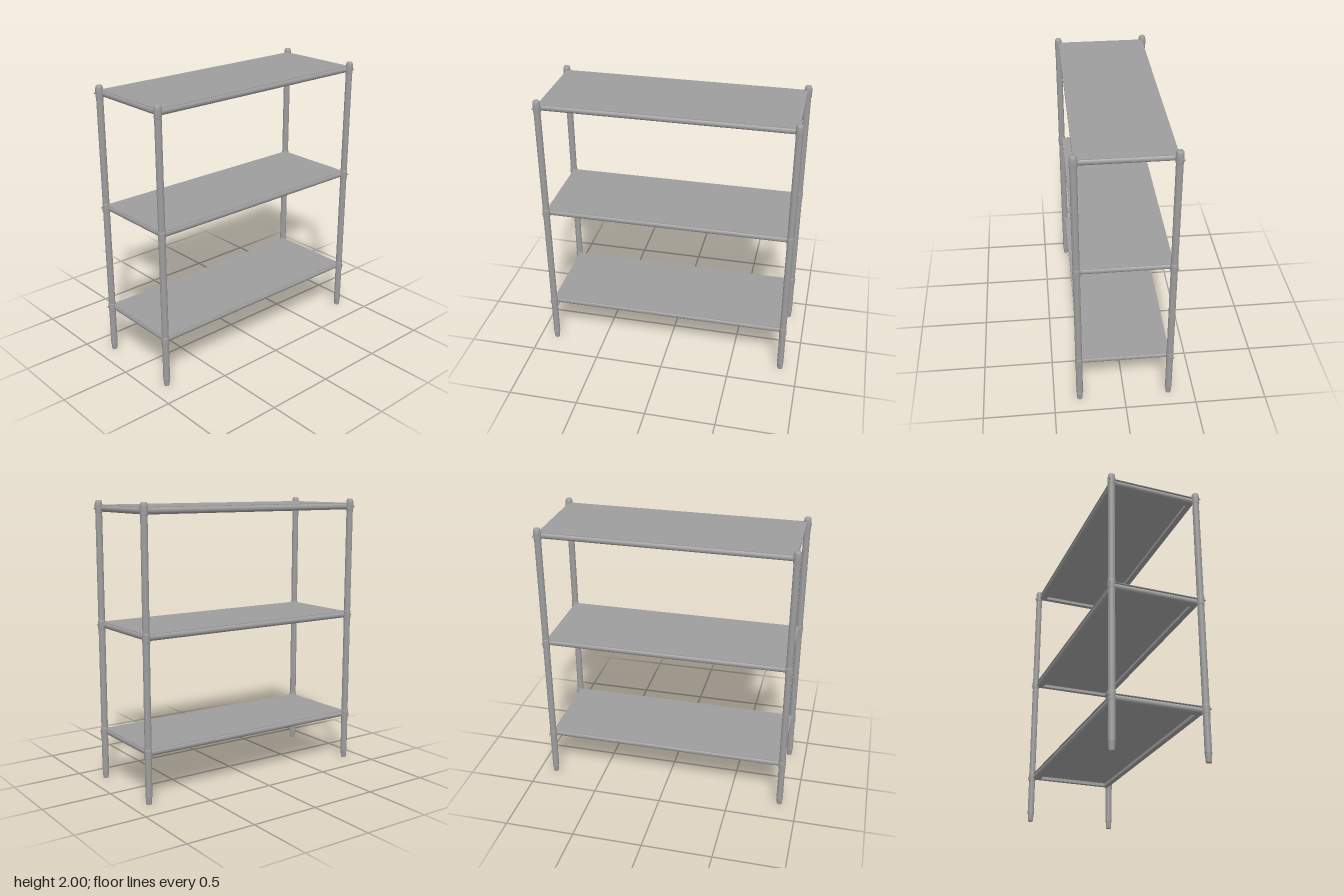
import * as THREE from 'three';

const PX = 0.873, PZ = 0.318;      // post centres
const EX = 0.871, EZ = 0.316;      // shelf outer edges
const POST_R = 0.0235;
const ROLL_R = 0.0225;             // radius of the rolled shelf edge
const PLATE = 0.004;               // shelf sheet thickness
const SHELVES = [0.348, 1.128, 1.944];

const material = new THREE.MeshStandardMaterial({ color: 0x9d9d9d });
const sheet = new THREE.MeshStandardMaterial({ color: 0x9d9d9d, side: THREE.DoubleSide });

function add(parent, name, geometry, mat = material) {
  const mesh = new THREE.Mesh(geometry, mat);
  mesh.name = name;
  parent.add(mesh);
  return mesh;
}

// Lathe with hard edges between the given smooth runs of [radius, y] points
function turned(parent, name, runs) {
  const part = new THREE.Group();
  part.name = name;
  for (const run of runs) {
    add(part, name + 'Surface', new THREE.LatheGeometry(run.map(([r, y]) => new THREE.Vector2(r, y)), 24));
  }
  parent.add(part);
}

// Sweep a strip of [inset, height] points round the shelf rectangle, mitred at the corners
function rimGeometry(strip) {
  const positions = [], index = [];
  const sides = [[1, 1, -1, 1], [-1, 1, -1, -1], [-1, -1, 1, -1], [1, -1, 1, 1]];
  for (const [ax, az, bx, bz] of sides) {
    const base = positions.length / 3;
    strip.forEach(([d, y], i) => {
      positions.push(ax * (EX - d), y, az * (EZ - d), bx * (EX - d), y, bz * (EZ - d));
      if (i > 0) {
        const a = base + 2 * (i - 1);
        index.push(a, a + 1, a + 2, a + 1, a + 3, a + 2);
      }
    });
  }
  const geometry = new THREE.BufferGeometry();
  geometry.setAttribute('position', new THREE.Float32BufferAttribute(positions, 3));
  geometry.setIndex(index);
  geometry.computeVertexNormals();
  return geometry;
}

function makeShelf(y) {
  const shelf = new THREE.Group();
  shelf.name = 'shelf';
  shelf.position.y = y;

  // Flat top sheet reaching the outer edge
  const rollTop = 0.0205, rollBottom = rollTop - 2 * ROLL_R;
  const panel = add(shelf, 'panel', new THREE.BoxGeometry(2 * EX, PLATE, 2 * EZ));
  panel.position.y = rollTop + PLATE / 2;

  // Rolled edge under the sheet, flat return, and short upturned lip
  const roll = [];
  for (let i = 0; i <= 12; i++) {
    const a = (i / 12) * Math.PI;
    roll.push([ROLL_R * (1 - Math.sin(a)), rollTop - ROLL_R * (1 - Math.cos(a))]);
  }
  add(shelf, 'rolledEdge', rimGeometry(roll), sheet);
  add(shelf, 'edgeReturn', rimGeometry([[ROLL_R, rollBottom], [0.05, rollBottom]]), sheet);
  add(shelf, 'edgeLip', rimGeometry([[0.05, rollBottom], [0.05, rollBottom + 0.0225]]), sheet);
  return shelf;
}

function makePost(sx, sz) {
  const post = new THREE.Group();
  post.name = 'post';
  post.position.set(sx * PX, 0, sz * PZ);

  // Upright tube
  const tube = add(post, 'upright', new THREE.CylinderGeometry(POST_R, POST_R, 1.88, 24));
  tube.position.y = 1.0;

  // Tapered foot with a thin rim
  turned(post, 'foot', [
    [[0, 0], [0.0175, 0]],
    [[0.0175, 0], [0.019, 0.004], [0.0225, 0.058]],
    [[0.0225, 0.058], [0.0255, 0.059]],
    [[0.0255, 0.059], [0.0255, 0.063]],
    [[0.0255, 0.063], [POST_R, 0.064]],
  ]);

  SHELVES.forEach((y, i) => {
    // Corner collar; the highest one is closed by a blunt rounded cap
    const top = i === SHELVES.length - 1;
    const lower = [
      [[POST_R, y - 0.031], [0.025, y - 0.031]],
      [[0.025, y - 0.031], [0.0265, y - 0.025], [0.0265, y + 0.022]],
    ];
    const upper = top
      ? [[[0.0265, y + 0.022], [0.0255, y + 0.03], [0.0245, y + 0.04], [0.0225, y + 0.048],
          [0.018, y + 0.0535], [0.01, y + 0.0555], [0, y + 0.056]]]
      : [[[0.0265, y + 0.022], [0.026, y + 0.029], [0.0245, y + 0.033], [POST_R, y + 0.034]]];
    turned(post, top ? 'cap' : 'collar', [...lower, ...upper]);

    // Bolt pointing diagonally outwards
    const out = new THREE.Vector3(sx, 0, sz).normalize();
    const bolt = add(post, 'bolt', new THREE.CylinderGeometry(0.005, 0.006, 0.014, 12));
    bolt.quaternion.setFromUnitVectors(new THREE.Vector3(0, 1, 0), out);
    bolt.position.copy(out).multiplyScalar(0.029).setY(y);
  });
  return post;
}

export function createModel() {
  const model = new THREE.Group();
  model.name = 'shelvingUnit';
  for (const y of SHELVES) model.add(makeShelf(y));
  for (const sx of [-1, 1]) for (const sz of [-1, 1]) model.add(makePost(sx, sz));
  return model;
}
